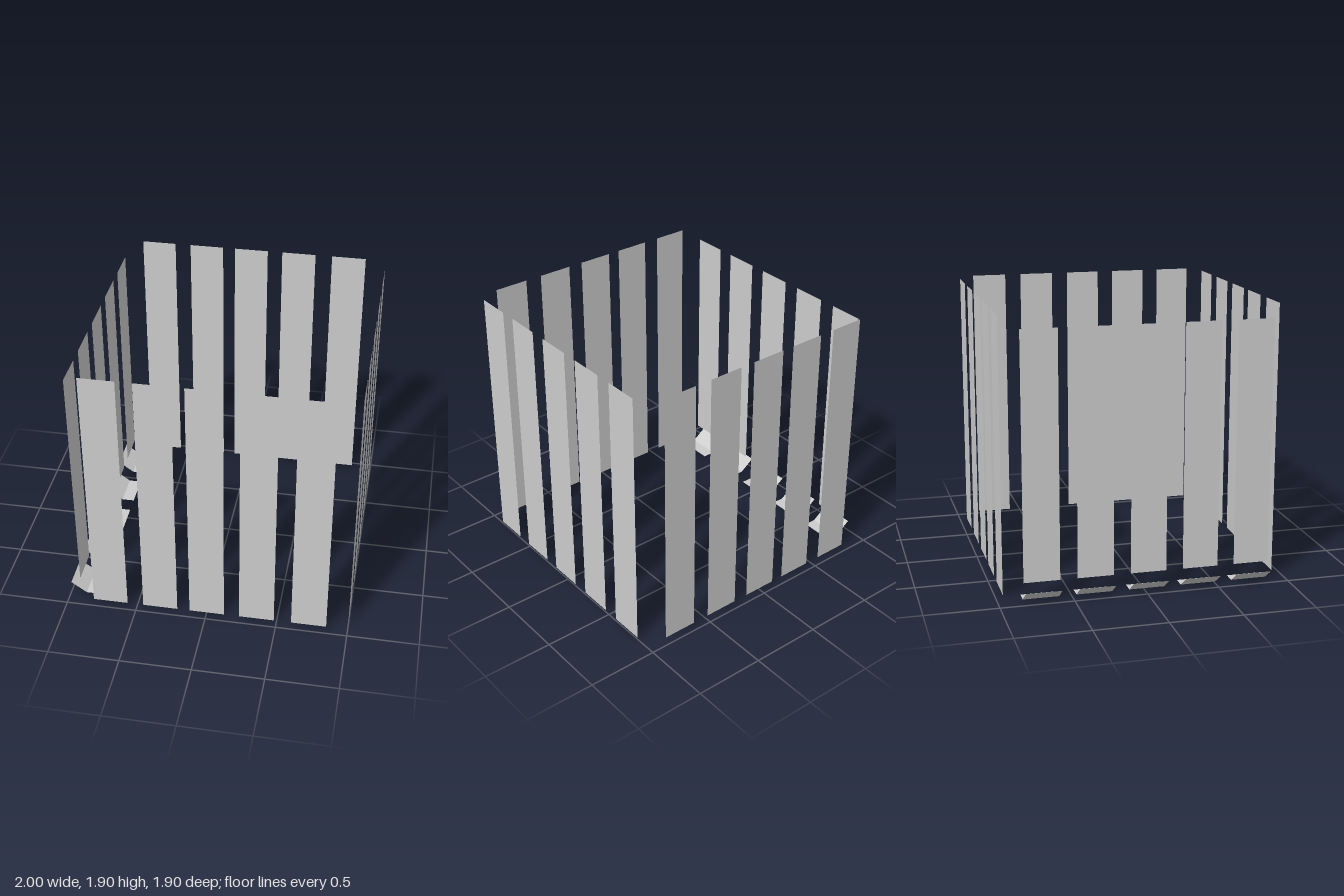
import * as THREE from 'three';

export function createModel() {
  const model = new THREE.Group();
  const grey = new THREE.MeshStandardMaterial({ color: 0xcccccc, side: THREE.DoubleSide });
  grey.name = 'light grey';

  const SLAT = 0.247; // width of every slat
  const xCentres = [-0.693, -0.332, 0.003, 0.358, 0.727];
  const zCentres = [-0.706, -0.341, 0.025, 0.388, 0.751];

  // flat upright slat, facing along the angle turn about y
  function addSlat(name, x, z, turn, y0, y1) {
    const mesh = new THREE.Mesh(new THREE.PlaneGeometry(SLAT, y1 - y0), grey);
    mesh.name = name;
    mesh.position.set(x, (y0 + y1) / 2, z);
    mesh.rotation.y = turn;
    model.add(mesh);
  }

  // front and back rows
  for (const x of xCentres) {
    addSlat('frontSlat', x, 0.95, 0, 0.015, 1.9);
    addSlat('backSlat', x, -0.95, Math.PI, 0.015, 1.9);
  }

  // side rows; the right row is shorter and stands above the bent feet
  for (const z of zCentres) {
    addSlat('leftSlat', 1, z, Math.PI / 2, 0.015, 1.9);
    addSlat('rightSlat', -0.93, z, -Math.PI / 2, 0.13, 1.82);
  }

  // bent foot strip: raised outer lip, fold, flat inner flap
  const profile = [[-1, 0.08], [-0.89, 0], [-0.8, 0]];
  function addFootFace(name, [xa, ya], [xb, yb], z) {
    const geometry = new THREE.PlaneGeometry(Math.hypot(xb - xa, yb - ya), SLAT);
    geometry.rotateX(-Math.PI / 2);
    geometry.rotateZ(Math.atan2(yb - ya, xb - xa));
    const mesh = new THREE.Mesh(geometry, grey);
    mesh.name = name;
    mesh.position.set((xa + xb) / 2, (ya + yb) / 2, z);
    model.add(mesh);
  }
  for (const z of zCentres) {
    addFootFace('footLip', profile[0], profile[1], z);
    addFootFace('footFlap', profile[1], profile[2], z);
  }

  return model;
}
